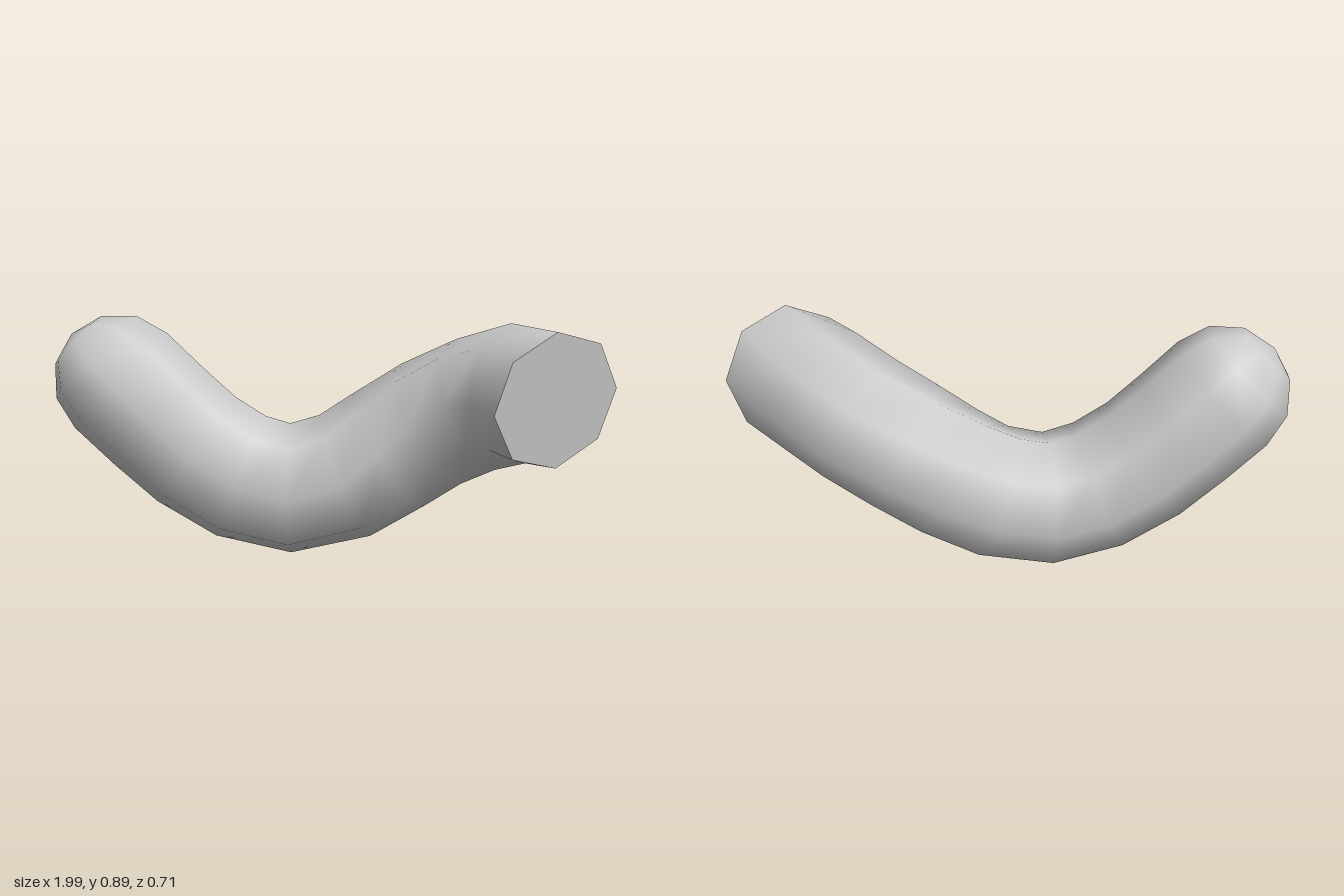
import * as THREE from 'three';

const SIDES = 8;
const RADIUS = 0.244;

// Centre line from the domed end to the cut end: x, y, z, twist in degrees
const PATH = [
  [-0.77, 0.645, 0.115, -6],
  [-0.64, 0.515, 0.085, -6],
  [-0.505, 0.39, 0.055, -5],
  [-0.345, 0.29, 0.02, -4],
  [-0.165, 0.245, -0.022, -3],
  [0.03, 0.295, -0.068, -5],
  [0.185, 0.395, -0.105, -8],
  [0.34, 0.5, -0.118, -9],
  [0.505, 0.585, -0.09, -6],
  [0.665, 0.645, -0.01, 0],
  [0.81, 0.648, 0.12, 7],
];
const START_DIR = new THREE.Vector3(0.69, -0.7, -0.16).normalize();
const END_DIR = new THREE.Vector3(0.65, -0.14, 0.75).normalize();

// One octagonal ring, square to the direction dir
function ring(center, dir, radius, twist) {
  const up = new THREE.Vector3(0, 1, 0).addScaledVector(dir, -dir.y).normalize();
  const side = new THREE.Vector3().crossVectors(dir, up);
  return Array.from({ length: SIDES }, (_, j) => {
    const a = (j / SIDES) * Math.PI * 2 + THREE.MathUtils.degToRad(twist);
    return center.clone()
      .addScaledVector(up, Math.cos(a) * radius)
      .addScaledVector(side, Math.sin(a) * radius);
  });
}

function geometryFrom(points, index) {
  const g = new THREE.BufferGeometry().setFromPoints(points);
  g.setIndex(index);
  g.computeVertexNormals();
  return g;
}

export function createModel() {
  const group = new THREE.Group();
  group.name = 'bentTube';
  const material = new THREE.MeshStandardMaterial({ color: 0xcccccc });
  const centers = PATH.map(([x, y, z]) => new THREE.Vector3(x, y, z));
  const last = centers.length - 1;
  const rings = [];

  // Rounded end: two shrinking rings ahead of the first full one
  for (const deg of [60, 30]) {
    const a = THREE.MathUtils.degToRad(deg);
    const c = centers[0].clone().addScaledVector(START_DIR, -Math.sin(a) * RADIUS);
    rings.push(ring(c, START_DIR, Math.cos(a) * RADIUS, PATH[0][3]));
  }

  // Bent body
  centers.forEach((c, i) => {
    const dir = i === 0 ? START_DIR : i === last ? END_DIR
      : centers[i + 1].clone().sub(c).normalize()
        .add(c.clone().sub(centers[i - 1]).normalize()).normalize();
    rings.push(ring(c, dir, RADIUS, PATH[i][3]));
  });

  const points = rings.flat();
  const index = [];
  const tip = points.length;
  points.push(centers[0].clone().addScaledVector(START_DIR, -RADIUS));
  for (let j = 0; j < SIDES; j++) {
    const k = (j + 1) % SIDES;
    index.push(tip, k, j);
    for (let i = 0; i < rings.length - 1; i++) {
      const a = i * SIDES, b = a + SIDES;
      index.push(a + j, a + k, b + j, a + k, b + k, b + j);
    }
  }
  const body = new THREE.Mesh(geometryFrom(points, index), material);
  body.name = 'tubeBody';

  // Flat cut end, with its own vertices for a sharp rim
  const capIndex = [];
  for (let j = 1; j < SIDES - 1; j++) capIndex.push(0, j, j + 1);
  const cap = new THREE.Mesh(geometryFrom(rings[rings.length - 1], capIndex), material);
  cap.name = 'cutEnd';

  group.add(body, cap);
  return group;
}
